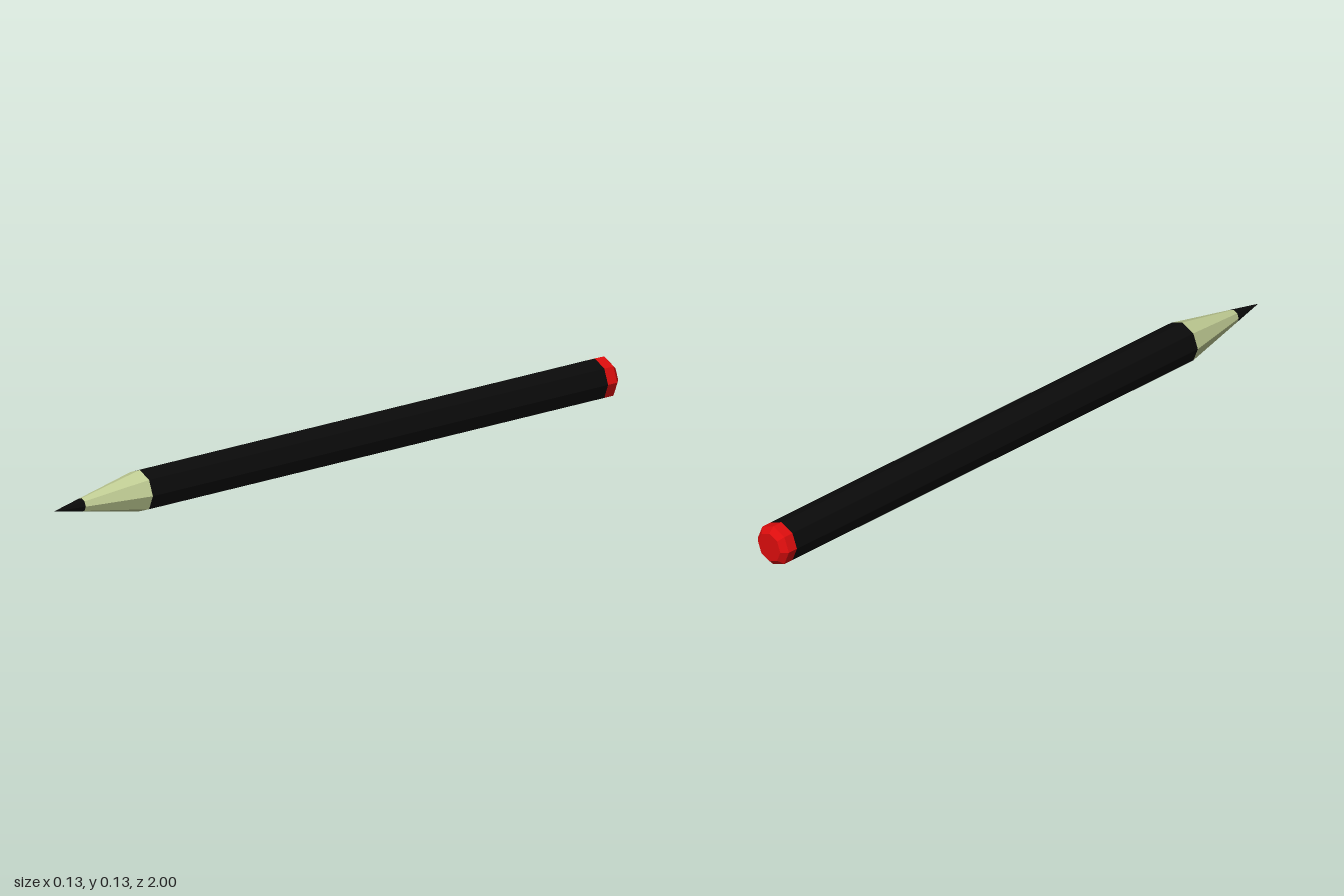
import * as THREE from 'three';

const SIDES = 8;
const R = 0.063;

function flatMaterial(name, color) {
  const m = new THREE.MeshStandardMaterial({ color, flatShading: true });
  m.name = name;
  return m;
}

// Eight-sided turned part along z; profile is [radius, z] from back to front
function turned(name, profile, material) {
  const points = profile.map(([r, z]) => new THREE.Vector2(r, z));
  const geometry = new THREE.LatheGeometry(points, SIDES).rotateX(Math.PI / 2);
  const mesh = new THREE.Mesh(geometry, material);
  mesh.name = name;
  mesh.position.y = R;
  return mesh;
}

export function createModel() {
  const black = flatMaterial('black', 0x0a0a0a);
  const wood = flatMaterial('paleWood', 0xbfcb93);
  const red = flatMaterial('red', 0xdc0d0d);

  const pencil = new THREE.Group();
  pencil.name = 'pencil';
  pencil.add(
    // Bevelled end cap
    turned('endCap', [[0, -1], [0.045, -1], [R, -0.983], [R, -0.95]], red),
    // Painted shaft
    turned('shaft', [[R, -0.95], [R, 0.69]], black),
    // Sharpened wooden cone
    turned('woodCone', [[R, 0.69], [0.0205, 0.9]], wood),
    // Lead point
    turned('leadTip', [[0.0205, 0.9], [0, 1]], black)
  );
  return pencil;
}
